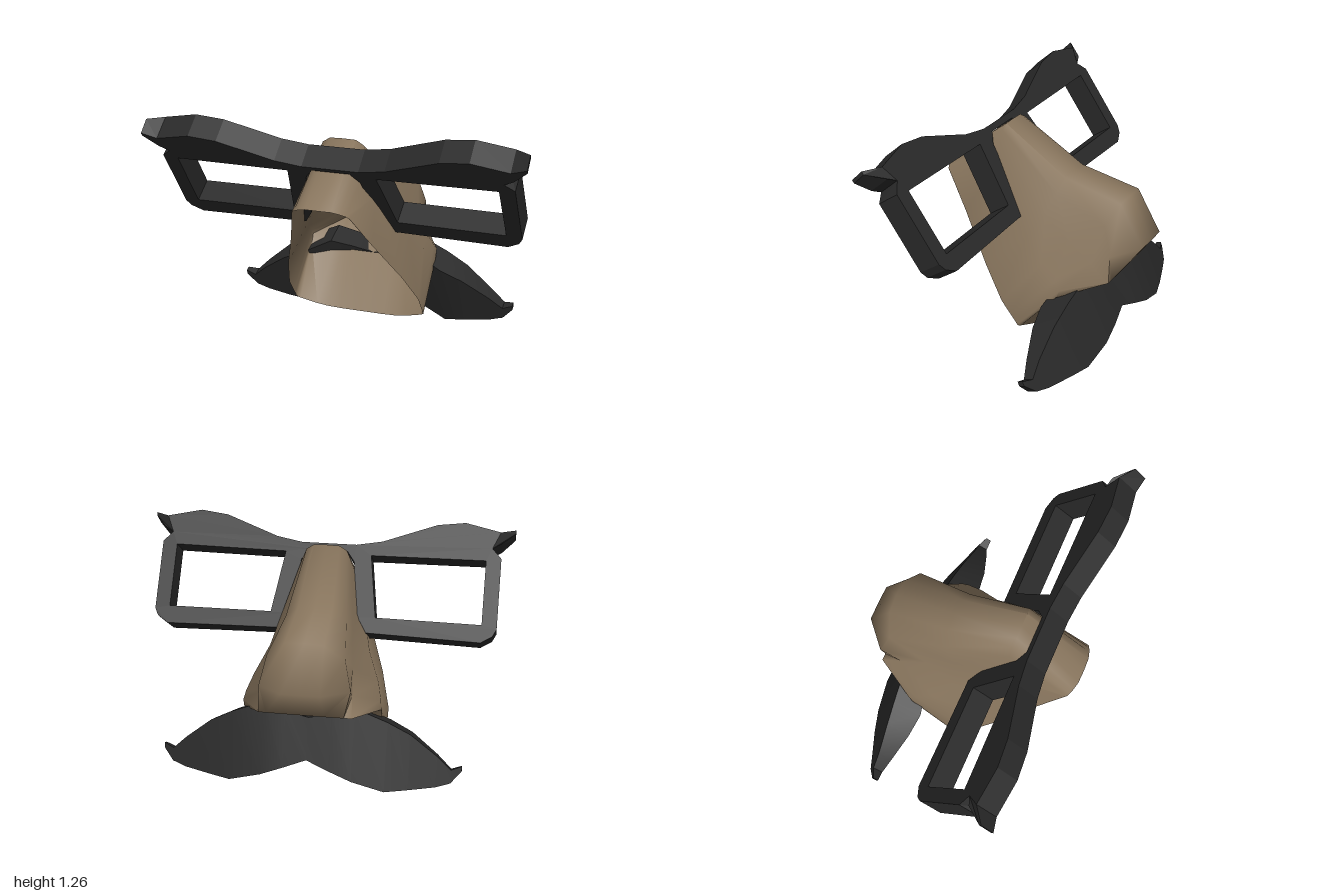
import * as THREE from 'three';
import { toCreasedNormals } from 'three/addons/utils/BufferGeometryUtils.js';

// Skin a run of cross-sections (each a list of [x, y, z]); closed loops get end caps.
function skin(sections, closed, crease) {
  const n = sections[0].length, index = [];
  const at = (i, j) => i * n + (j % n);
  for (let i = 0; i < sections.length - 1; i++) {
    for (let j = 0; j < (closed ? n : n - 1); j++) {
      index.push(at(i, j), at(i, j + 1), at(i + 1, j + 1));
      index.push(at(i, j), at(i + 1, j + 1), at(i + 1, j));
    }
  }
  if (closed) {
    const e = sections.length - 1;
    for (let j = 1; j < n - 1; j++) {
      index.push(at(e, 0), at(e, j), at(e, j + 1));
      index.push(at(0, 0), at(0, j + 1), at(0, j));
    }
  }
  const g = new THREE.BufferGeometry();
  g.setAttribute('position', new THREE.Float32BufferAttribute(sections.flat(2), 3));
  g.setIndex(index);
  g.computeVertexNormals();
  return toCreasedNormals(g, crease);
}

// Spectacle frame: mirrored outline with two lens openings, leaning with the nose
function makeGlasses(material) {
  const tilt = 0.61, baseY = 0.65, depth = 0.135;
  const toPlane = ([x, y]) => new THREE.Vector2(x, (y - baseY) / Math.cos(tilt));
  const half = [
    [0.1, 1.035], [0.145, 0.985], [0.165, 0.85], [0.19, 0.735], [0.24, 0.667],
    [0.85, 0.656], [0.91, 0.687], [0.93, 0.72], [0.93, 1.035], [0.88, 1.08],
    [0.93, 1.105], [1, 1.165], [1, 1.18], [0.92, 1.155], [0.73, 1.19],
    [0.58, 1.174], [0.29, 1.085], [0.15, 1.064],
  ];
  const mirrored = half.map(([x, y]) => [-x, y]).reverse();
  const shape = new THREE.Shape([...half, ...mirrored].map(toPlane));
  const lens = [[0.85, 0.735], [0.85, 1.023], [0.235, 1.018], [0.285, 0.738]];
  for (const s of [1, -1]) {
    shape.holes.push(new THREE.Path(lens.map(([x, y]) => toPlane([s * x, y]))));
  }
  const geo = new THREE.ExtrudeGeometry(shape, { depth, bevelEnabled: false });
  // Slope the top of the brow forward and thin the far side of its tips
  const p = geo.attributes.position;
  for (let i = 0; i < p.count; i++) {
    const isFar = p.getZ(i) < 0.01;
    if (isFar && Math.abs(p.getX(i)) > 0.99) p.setZ(i, 0.05);
    if (!isFar && p.getY(i) > 0.5) p.setY(i, p.getY(i) - 0.014);
  }
  geo.computeVertexNormals();
  const mesh = new THREE.Mesh(geo, material);
  mesh.rotation.x = tilt;
  mesh.position.set(0, 0.716, 0.037);
  mesh.name = 'glassesFrame';
  return mesh;
}

// Hollow nose: arched sections from the bridge to the base.
// Each row runs ridge, ridge edge, flank, crease, cheek, rim on one side.
function makeNose(material) {
  const halves = [
    [[0, 0.875, 0.59], [0.07, 0.875, 0.588], [0.11, 0.865, 0.578], [0.135, 0.855, 0.568], [0.15, 0.845, 0.56], [0.155, 0.835, 0.55]],
    [[0, 1.152, 0.237], [0.07, 1.15, 0.237], [0.11, 1.125, 0.235], [0.14, 1.05, 0.235], [0.19, 0.88, 0.28], [0.22, 0.66, 0.41]],
    [[0, 0.94, -0.13], [0.09, 0.935, -0.13], [0.16, 0.87, -0.11], [0.185, 0.75, -0.06], [0.27, 0.65, 0], [0.32, 0.43, 0.225]],
    [[0, 0.88, -0.463], [0.1, 0.87, -0.455], [0.2, 0.78, -0.42], [0.21, 0.65, -0.21], [0.335, 0.53, -0.12], [0.37, 0.27, 0.1]],
    [[0, 0.65, -0.587], [0.1, 0.65, -0.585], [0.235, 0.63, -0.467], [0.228, 0.555, -0.355], [0.36, 0.47, -0.21], [0.37, 0.2, 0.045]],
    [[0, 0.48, -0.467], [0.1, 0.48, -0.467], [0.2, 0.48, -0.466], [0.24, 0.48, -0.465], [0.367, 0.435, -0.25], [0.37, 0.17, 0.02]],
    [[0, 0.38, -0.25], [0.12, 0.38, -0.25], [0.18, 0.384, -0.25], [0.24, 0.4, -0.255], [0.368, 0.39, -0.23], [0.37, 0.15, 0.005]],
    [[0, 0.09, -0.043], [0.12, 0.09, -0.043], [0.2, 0.094, -0.04], [0.26, 0.105, -0.032], [0.35, 0.135, -0.007], [0.37, 0.145, 0]],
  ];
  const sections = halves.map((h) => [
    ...h.slice(1).reverse().map(([x, y, z]) => [-x, y, z]), ...h,
  ]);
  const mesh = new THREE.Mesh(skin(sections, false, 1.25), material);
  mesh.name = 'nose';
  return mesh;
}

// Moustache: four-cornered sections along x, tapering to upturned tips
function makeMoustache(material) {
  // x, top height, bottom height, near depth, far depth
  const stations = [
    [0, 0.34, 0.13, 0.08, 0.2], [0.12, 0.365, 0.085, 0.08, 0.205],
    [0.24, 0.4, 0.042, 0.06, 0.2], [0.41, 0.34, 0, 0, 0.165],
    [0.53, 0.285, 0.015, 0, 0.135], [0.67, 0.185, 0.033, 0.01, 0.09],
    [0.745, 0.12, 0.055, 0.015, 0.07], [0.8, 0.14, 0.115, 0.02, 0.05],
  ];
  const section = ([x, top, bottom, near, far]) =>
    [[top, near], [bottom, near], [bottom, far], [top, far]].map(([h, d]) =>
      [x, h + 0.36 * d, -0.293 + 0.372 * h - 0.94 * d]);
  const left = stations.slice(1).reverse().map(([x, ...rest]) => [-x, ...rest]);
  const mesh = new THREE.Mesh(skin([...left, ...stations].map(section), true, 0.5), material);
  mesh.name = 'moustache';
  return mesh;
}

export function createModel() {
  const black = new THREE.MeshStandardMaterial({ color: 0x292929 });
  black.name = 'blackPlastic';
  const skinTone = new THREE.MeshStandardMaterial({ color: 0x88755d, side: THREE.DoubleSide });
  skinTone.name = 'tanSkin';

  const group = new THREE.Group();
  group.name = 'disguiseGlasses';
  group.add(makeGlasses(black), makeNose(skinTone), makeMoustache(black));
  return group;
}
